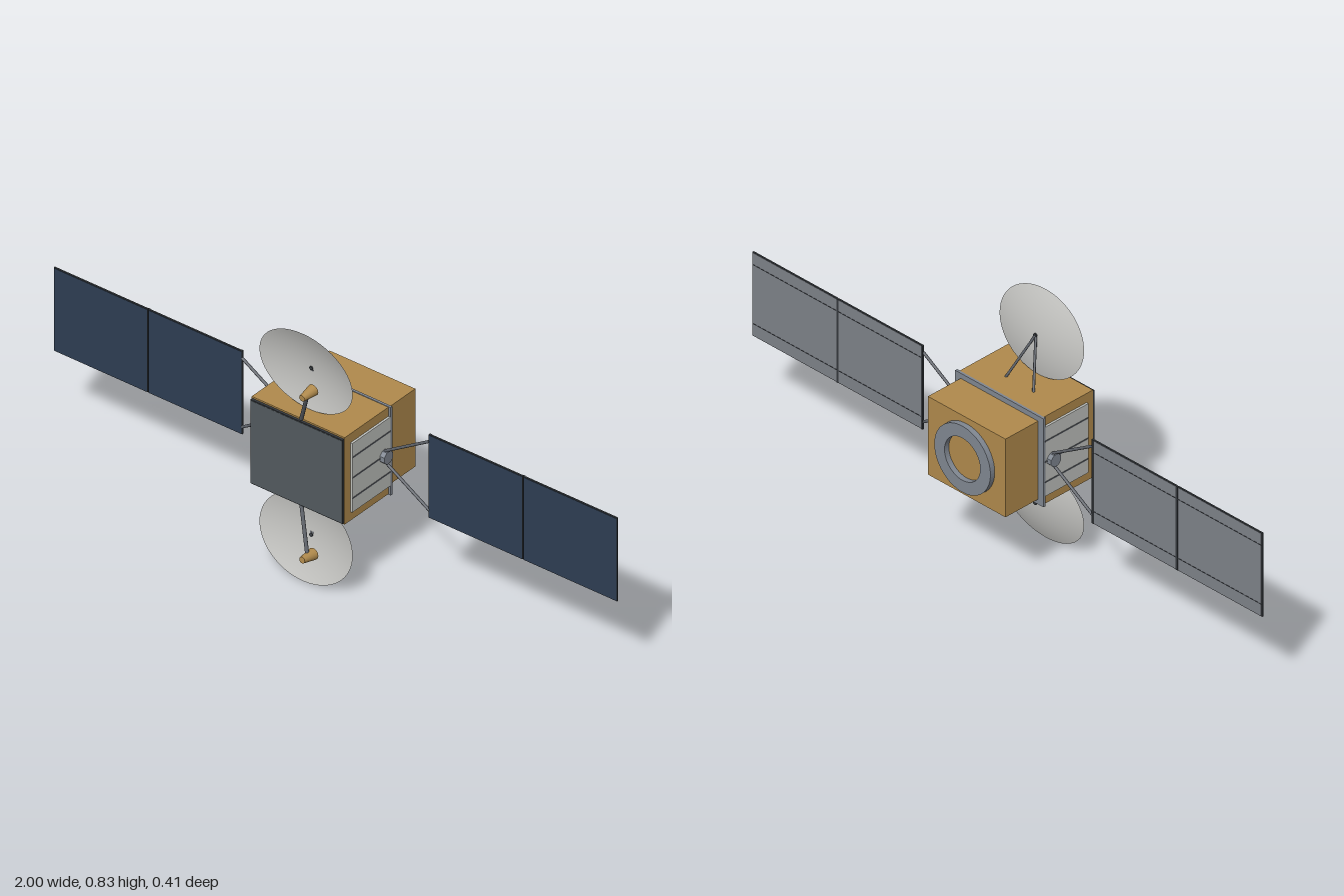
import * as THREE from 'three';

const CY = 0.415; // height of the body centre

const mat = (name, color, side = THREE.FrontSide) => {
  const m = new THREE.MeshStandardMaterial({ color, side });
  m.name = name;
  return m;
};

export function createModel() {
  const root = new THREE.Group();
  root.name = 'satellite';

  const gold = mat('gold foil', 0xb08a4c);
  const steel = mat('blue grey metal', 0x808791);
  const dark = mat('dark trim', 0x34383c);
  const slate = mat('slate shield', 0x525a5e);
  const white = mat('radiator white', 0xbfc1bd);
  const dishGrey = mat('dish light grey', 0xc4c4c1, THREE.DoubleSide);
  const cell = mat('solar blue', 0x2e3d52);
  const back = mat('panel back grey', 0x7e8289);
  const rodGrey = mat('strut grey', 0x5c6067);

  const add = (name, geo, material, x = 0, y = 0, z = 0, parent = root) => {
    const m = new THREE.Mesh(geo, material);
    m.name = name;
    m.position.set(x, y, z);
    parent.add(m);
    return m;
  };
  const box = (name, material, w, h, d, x, y, z, parent) =>
    add(name, new THREE.BoxGeometry(w, h, d), material, x, y, z, parent);

  // round bar between two points, r0 at a and r1 at b
  const rod = (name, material, a, b, r0, r1 = r0, sides = 8, parent = root) => {
    const p = new THREE.Vector3(...a), q = new THREE.Vector3(...b);
    const dir = q.clone().sub(p);
    const m = add(name, new THREE.CylinderGeometry(r1, r0, dir.length(), sides), material, 0, 0, 0, parent);
    m.position.copy(p).add(q).multiplyScalar(0.5);
    m.quaternion.setFromUnitVectors(new THREE.Vector3(0, 1, 0), dir.normalize());
    return m;
  };

  // body
  box('frontBody', gold, 0.33, 0.29, 0.2, 0, CY, 0.04);
  box('rearBody', gold, 0.304, 0.26, 0.132, 0, CY, -0.124);
  box('bodyFrame', steel, 0.346, 0.294, 0.008, 0, CY, -0.058);
  box('frontShieldEdge', dark, 0.326, 0.28, 0.008, 0, CY, 0.144);
  box('frontShield', slate, 0.32, 0.274, 0.001, 0, CY, 0.1483);

  // docking ring on the back
  const ringShape = new THREE.Shape().absarc(0, 0, 0.11, 0, Math.PI * 2, false);
  ringShape.holes.push(new THREE.Path().absarc(0, 0, 0.07, 0, Math.PI * 2, true));
  add('rearRing', new THREE.ExtrudeGeometry(ringShape,
    { depth: 0.018, bevelEnabled: false, curveSegments: 32 }), steel, 0, CY, -0.207);

  // radiators, hinges and solar wings on both sides
  for (const s of [1, -1]) {
    const wing = new THREE.Group();
    wing.name = s > 0 ? 'leftWing' : 'rightWing';
    root.add(wing);

    box('radiator', white, 0.007, 0.23, 0.17, s * 0.1685, CY, 0.03, wing);
    for (const dy of [-0.068, 0, 0.068])
      box('radiatorSeam', rodGrey, 0.002, 0.004, 0.17, s * 0.1725, CY + dy, 0.03, wing);

    const hinge = add('hinge', new THREE.CylinderGeometry(0.021, 0.021, 0.022, 8).toNonIndexed(),
      steel, s * 0.177, CY, -0.027, wing);
    hinge.geometry.computeVertexNormals();
    hinge.rotation.set(Math.PI / 8, 0, Math.PI / 2);

    for (const t of [1, -1])
      rod('wingStrut', rodGrey, [s * 0.175, CY + t * 0.018, -0.027],
        [s * 0.332, CY + t * 0.115, -0.027], 0.0045, 0.0045, 8, wing);

    for (const x of [0.4975, 0.833]) {
      const w = 0.333;
      box('panelEdge', dark, w, 0.278, 0.005, s * x, CY, -0.028, wing);
      box('solarCells', cell, w - 0.003, 0.274, 0.001, s * x, CY, -0.0251, wing);
      box('panelBack', back, w - 0.006, 0.274, 0.001, s * x, CY, -0.0309, wing);
      for (const t of [1, -1])
        box('backRib', dark, w - 0.006, 0.0025, 0.0008, s * x, CY + t * 0.098, -0.0316, wing);
    }
    box('panelHinge', dark, 0.007, 0.278, 0.003, s * 0.665, CY, -0.0305, wing);
    box('innerEdge', dark, 0.007, 0.278, 0.003, s * 0.3345, CY, -0.0305, wing);
  }

  // dishes above and below, each with a feed horn and rear struts
  const bowl = [];
  for (let i = 0; i <= 10; i++) bowl.push(new THREE.Vector2(i / 10, 0.024 * (i / 10) ** 2));
  for (const s of [1, -1]) {
    const g = new THREE.Group();
    g.name = s > 0 ? 'upperDish' : 'lowerDish';
    root.add(g);
    const at = (x, dy, z) => [x, CY + s * dy, z];

    const dish = add('dish', new THREE.LatheGeometry(bowl, 48), dishGrey, ...at(0, 0.2815, 0.081), g);
    dish.scale.set(0.165, 1, 0.135);
    dish.rotation.x = Math.PI / 2 + s * 0.113;

    for (const x of [-0.055, 0.055])
      rod('dishStrut', rodGrey, at(x, 0.142, 0.017), at(0, 0.279, 0.081), 0.004, 0.004, 8, g);
    rod('dishPin', dark, at(0, 0.279, 0.076), at(0, 0.2785, 0.084), 0.006, 0.006, 12, g);

    rod('feedArm', rodGrey, at(0.008, 0.138, 0.137), at(0.066, 0.268, 0.182), 0.006, 0.006, 8, g);
    rod('feedHorn', gold, at(0.068, 0.274, 0.158), at(0.067, 0.27, 0.207), 0.018, 0.01, 20, g);
  }
  return root;
}
